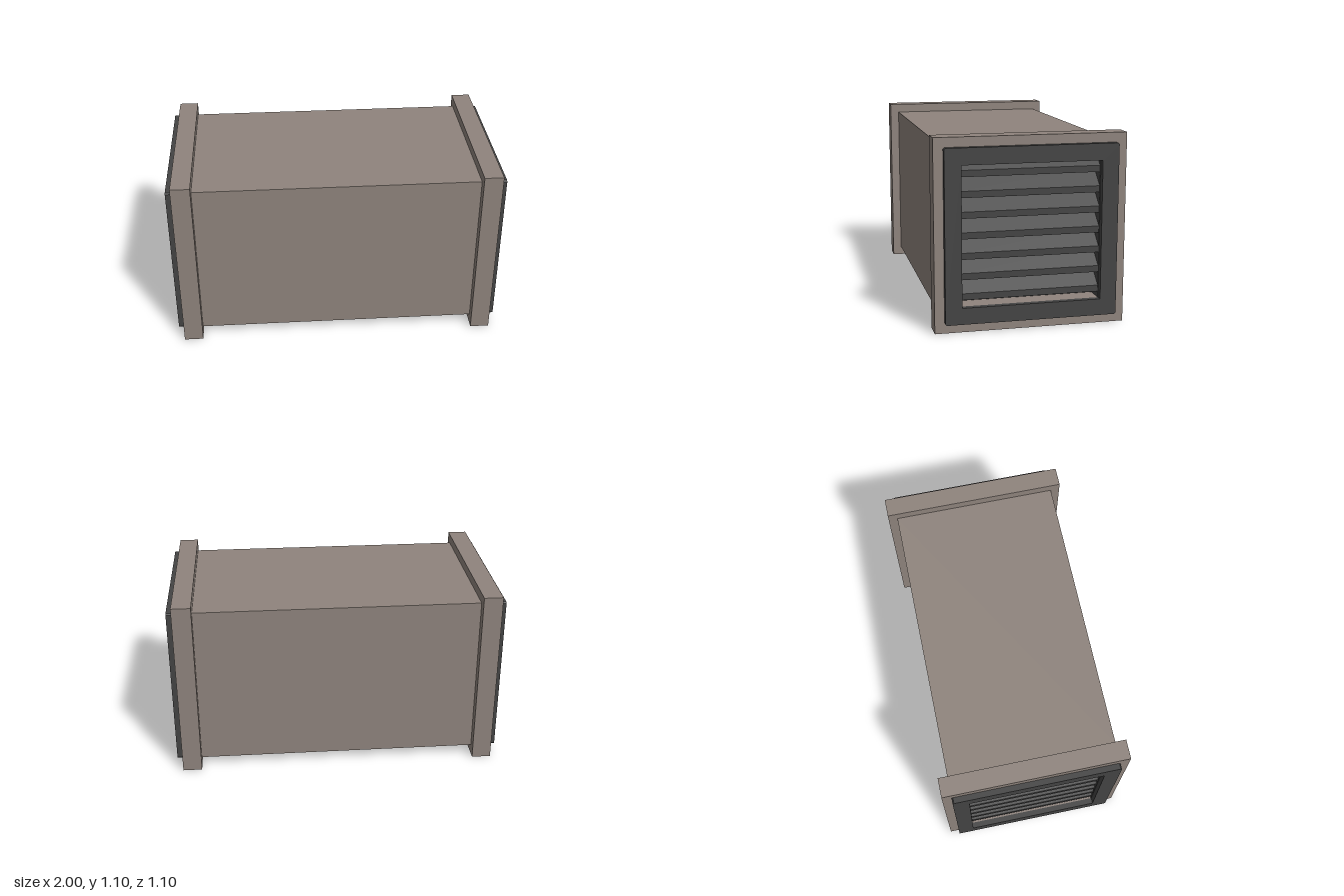
import * as THREE from 'three';

const CY = 0.55; // height of the duct axis

export function createModel() {
  const casing = new THREE.MeshStandardMaterial({ color: 0x8f847d });
  casing.name = 'taupe casing';
  const grille = new THREE.MeshStandardMaterial({ color: 0x444444 });
  grille.name = 'dark grille';

  const model = new THREE.Group();
  model.name = 'louveredDuct';

  const add = (parent, name, geometry, material, x = 0, y = 0, z = 0) => {
    const mesh = new THREE.Mesh(geometry, material);
    mesh.name = name;
    mesh.position.set(x, y, z);
    parent.add(mesh);
    return mesh;
  };

  // Square ring, centred on the x axis, reaching from x = 0 to x = depth
  const ring = (outer, inner, depth, cut = 0) => {
    const o = outer, i = inner, c = o - cut;
    const pts = cut
      ? [[-c, -o], [c, -o], [o, -c], [o, c], [c, o], [-c, o], [-o, c], [-o, -c]]
      : [[-o, -o], [o, -o], [o, o], [-o, o]];
    const shape = new THREE.Shape(pts.map(p => new THREE.Vector2(...p)));
    shape.holes.push(new THREE.Path(
      [[-i, -i], [-i, i], [i, i], [i, -i]].map(p => new THREE.Vector2(...p))));
    return new THREE.ExtrudeGeometry(shape, { depth, bevelEnabled: false }).rotateY(Math.PI / 2);
  };

  // Main casing
  add(model, 'ductBody', new THREE.BoxGeometry(1.7, 0.99, 0.99), casing, 0, CY, 0);

  // Slanted slat: upright front edge, rising towards the inside
  const slatShape = new THREE.Shape([
    new THREE.Vector2(0.96, -0.0185), new THREE.Vector2(0.96, 0.0185),
    new THREE.Vector2(0.855, 0.1085), new THREE.Vector2(0.855, 0.0715),
  ]);
  const slatGeometry = new THREE.ExtrudeGeometry(slatShape, { depth: 0.8, bevelEnabled: false })
    .translate(0, 0, -0.4);

  for (const side of [0, 1]) {
    const end = new THREE.Group();
    end.name = side ? 'rightEnd' : 'leftEnd';
    end.rotation.y = side * Math.PI;

    // Collar and grille frame
    add(end, 'collar', ring(0.55, 0.4, 0.115), casing, 0.85, CY, 0);
    add(end, 'grilleFrame', ring(0.495, 0.4, 0.035, 0.008), grille, 0.965, CY, 0);

    // Dark lining of the recess
    add(end, 'backPanel', new THREE.BoxGeometry(0.006, 0.8, 0.8), grille, 0.853, CY, 0);
    add(end, 'recessCeiling', new THREE.BoxGeometry(0.115, 0.004, 0.8), grille, 0.9075, 0.949, 0);
    for (const s of [-1, 1]) {
      add(end, 'recessSide', new THREE.BoxGeometry(0.115, 0.8, 0.004), grille, 0.9075, CY, s * 0.399);
    }

    // Louvre slats
    for (let k = -3; k <= 3; k++) {
      add(end, 'louvreSlat', slatGeometry, grille, 0, CY + k * 0.1158, 0);
    }
    model.add(end);
  }
  return model;
}
